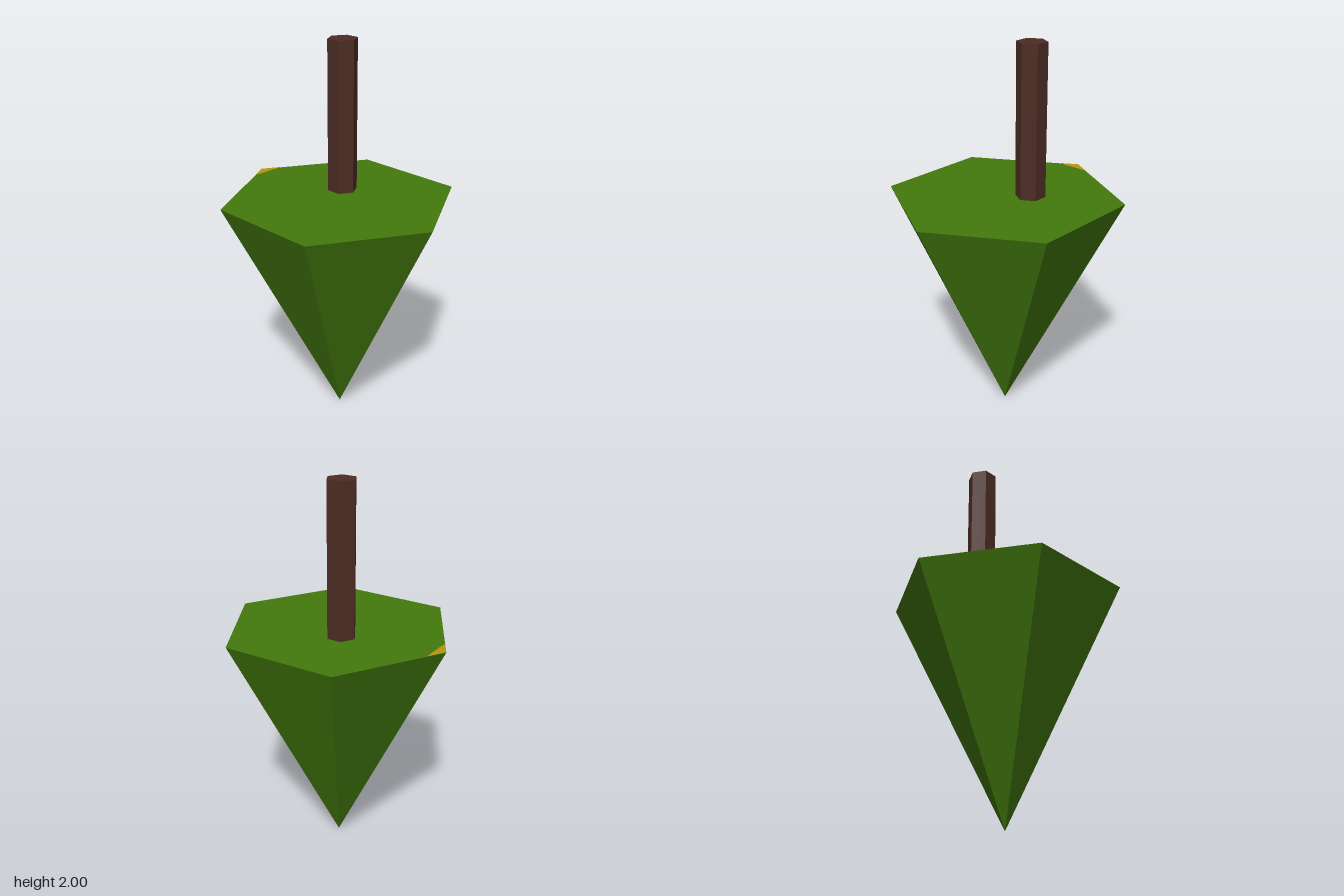
import * as THREE from 'three';

export function createModel() {
  const mat = (name, color) => {
    const m = new THREE.MeshStandardMaterial({ color, flatShading: true });
    m.name = name;
    return m;
  };
  const green = mat('leaf green', 0x437a0d);
  const brown = mat('bark brown', 0x4d2c24);
  const gold = mat('gold', 0xb8960f);

  const model = new THREE.Group();
  const add = (name, geometry, material, x, y, z) => {
    const mesh = new THREE.Mesh(geometry, material);
    mesh.name = name;
    mesh.position.set(x, y, z);
    model.add(mesh);
    return mesh;
  };

  const radius = 0.606, top = 1.22;

  // Six-sided cone standing on its tip, with a flat top
  add('cone', new THREE.CylinderGeometry(radius, 0, top, 6), green, 0, top / 2, 0);

  // Off-centre hexagonal trunk, set slightly into the cone
  const trunkBase = top - 0.02;
  add('trunk', new THREE.CylinderGeometry(0.077, 0.077, 2 - trunkBase, 6), brown,
    0.1, (2 + trunkBase) / 2, -0.08);

  // Gold patch at the back corner (shape y becomes -z)
  const patch = new THREE.Shape([
    new THREE.Vector2(0, radius),
    new THREE.Vector2(-0.087, 0.556),
    new THREE.Vector2(-0.06, 0.552),
    new THREE.Vector2(0.08, 0.552),
    new THREE.Vector2(0.092, 0.553),
  ]);
  add('cornerPatch', new THREE.ShapeGeometry(patch), gold, 0, top + 0.002, 0)
    .rotation.x = -Math.PI / 2;

  return model;
}
